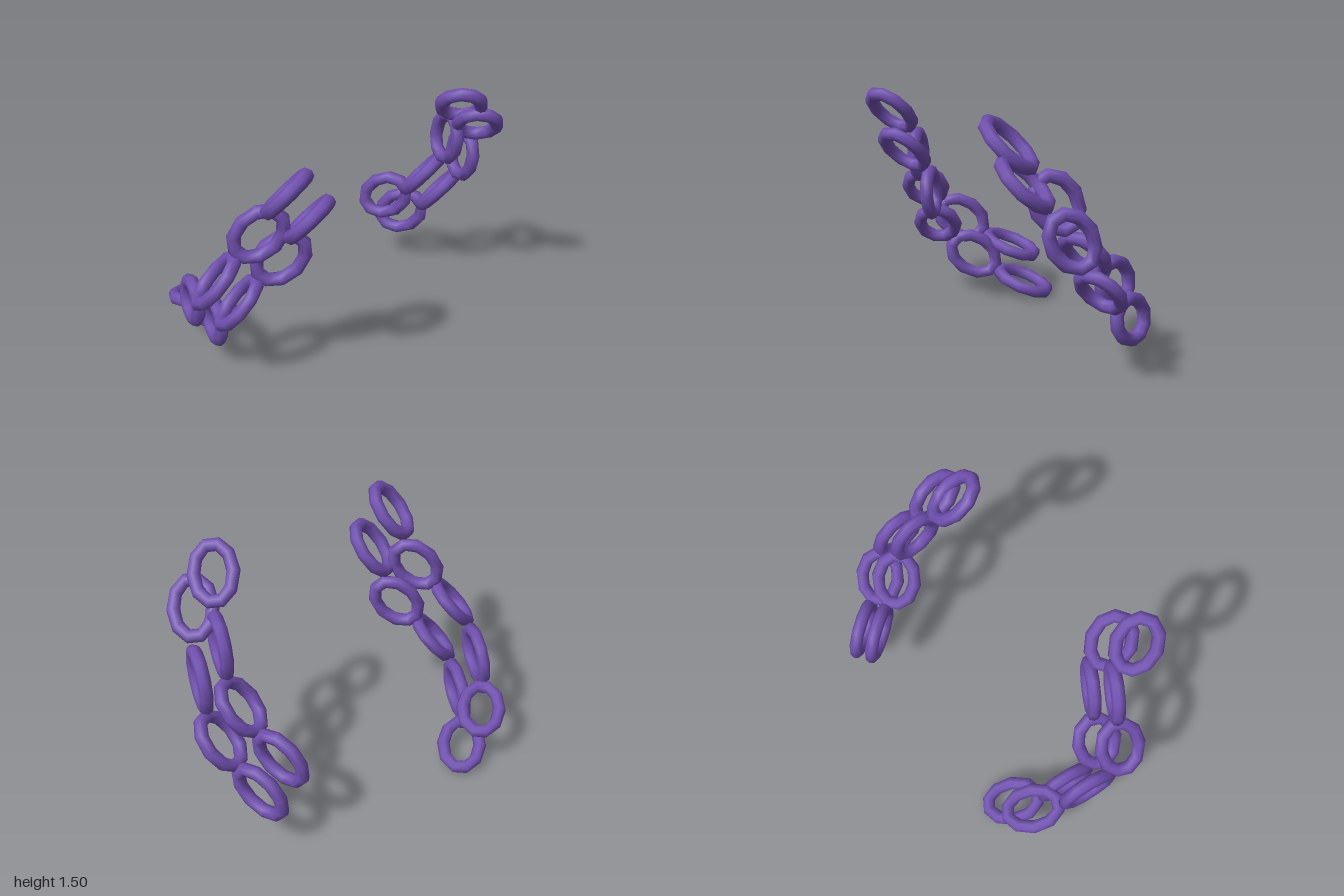
import * as THREE from 'three';

const material = new THREE.MeshStandardMaterial({ color: 0x6f4fae });

// Oval link: a torus whose centre line is stretched along y, tube kept round
function linkGeometry(halfWidth = 0.108, halfLength = 0.158, tube = 0.038) {
  const geometry = new THREE.TorusGeometry(halfWidth, tube, 8, 10);
  const p = geometry.attributes.position;
  for (let i = 0; i < p.count; i++) {
    const x = p.getX(i), y = p.getY(i);
    p.setY(i, y + (halfLength - halfWidth) * y / Math.hypot(x, y));
  }
  return geometry;
}

// Long axis from heading and pitch, then a roll about it, all in degrees
function orient(mesh, heading, pitch, roll) {
  const [a, b, r] = [heading, pitch, roll].map(THREE.MathUtils.degToRad);
  const long = new THREE.Vector3(Math.cos(b) * Math.cos(a), Math.sin(b), Math.cos(b) * Math.sin(a));
  const wide = new THREE.Vector3(-Math.sin(a), 0, Math.cos(a)).applyAxisAngle(long, r);
  const normal = wide.clone().cross(long);
  mesh.quaternion.setFromRotationMatrix(new THREE.Matrix4().makeBasis(wide, long, normal));
}

// Links from the top down: centre, heading, pitch, roll
const frontLinks = [
  [0.42, 1.265, 0.655, -15, 48, 10],
  [0.235, 0.97, 0.69, -49, 49, 90],
  [0.095, 0.70, 0.87, -54, 50, 0],
  [-0.147, 0.455, 0.855, 22, 38, 90],
  [-0.395, 0.285, 0.67, 46, 20, 0],
];
const backLinks = [
  [0.42, 1.355, -0.585, 33, 44, -12],
  [0.22, 1.055, -0.705, 18, 61, 90],
  [0.045, 0.75, -0.715, -25, 50, 0],
  [-0.205, 0.52, -0.65, -20, 39, 90],
];

function chain(name, links, geometry, dy = 0, dz = 0) {
  const group = new THREE.Group();
  group.name = name;
  links.forEach(([x, y, z, heading, pitch, roll], i) => {
    const link = new THREE.Mesh(geometry, material);
    link.name = `link${i + 1}`;
    link.position.set(x, y + dy, z + dz);
    orient(link, heading, pitch, roll);
    group.add(link);
  });
  return group;
}

export function createModel() {
  const model = new THREE.Group();
  model.name = 'chains';
  const geometry = linkGeometry();
  // Two pairs of parallel chains
  model.add(
    chain('frontUpperChain', frontLinks, geometry),
    chain('frontLowerChain', frontLinks, geometry, -0.198, -0.142),
    chain('backUpperChain', backLinks, geometry),
    chain('backLowerChain', backLinks, geometry, -0.16, -0.142),
  );
  return model;
}
